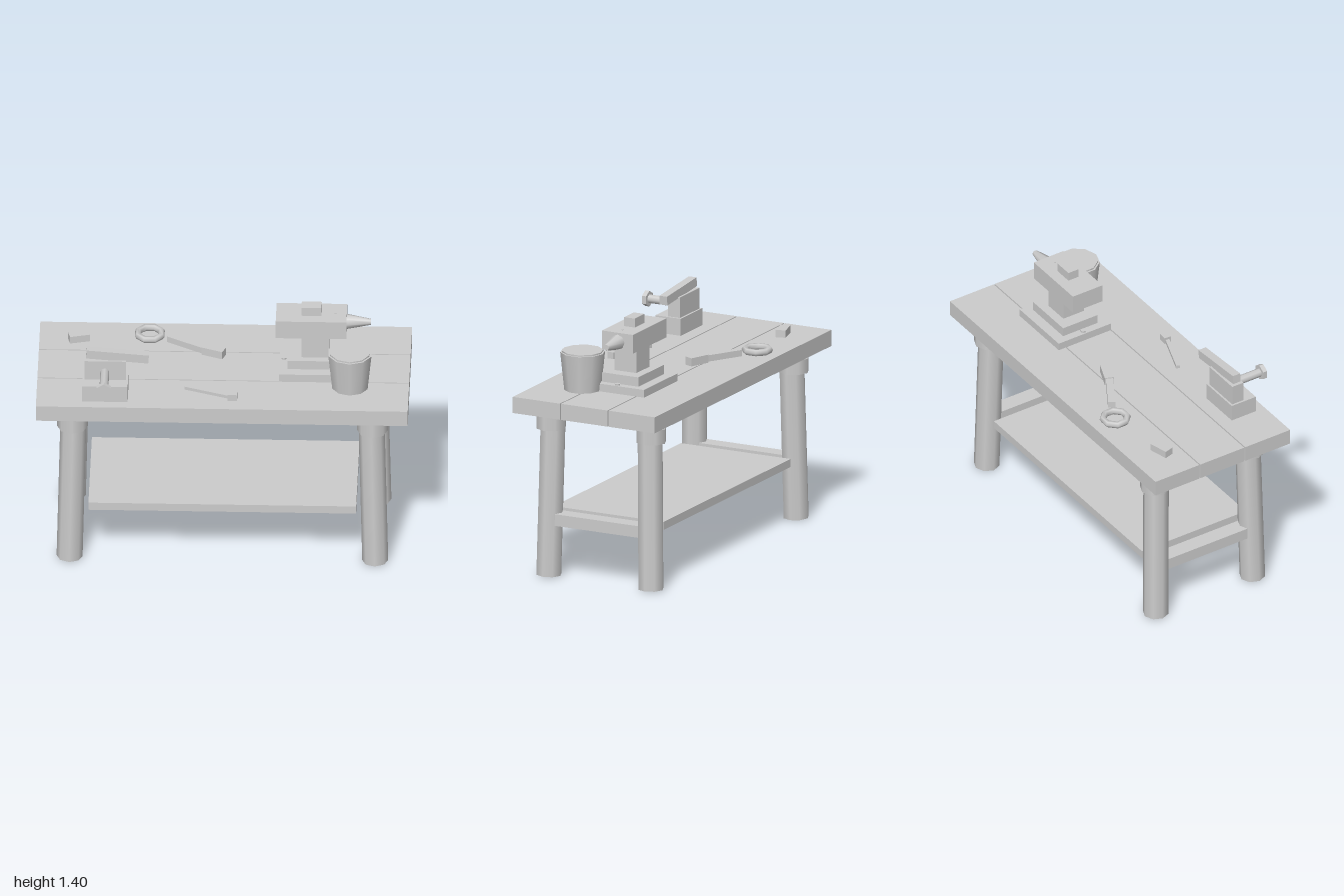
import * as THREE from 'three';

export function createModel() {
  const model = new THREE.Group();
  const smooth = new THREE.MeshStandardMaterial({ color: 0xcccccc });
  const flat = new THREE.MeshStandardMaterial({ color: 0xcccccc, flatShading: true });

  function add(parent, name, geometry, material, x, y, z) {
    const mesh = new THREE.Mesh(geometry, material);
    mesh.name = name;
    mesh.position.set(x, y, z);
    parent.add(mesh);
    return mesh;
  }
  // Box given by its lower and upper limits on each axis
  function box(parent, name, [x0, x1], [y0, y1], [z0, z1]) {
    return add(parent, name, new THREE.BoxGeometry(x1 - x0, y1 - y0, z1 - z0), flat,
      (x0 + x1) / 2, (y0 + y1) / 2, (z0 + z1) / 2);
  }
  // Box lying on the table, turned about the vertical
  function turnedBox(parent, name, size, x, y, z, angle) {
    const mesh = add(parent, name, new THREE.BoxGeometry(...size), flat, x, y, z);
    mesh.rotation.y = angle;
    return mesh;
  }
  function group(name) {
    const g = new THREE.Group();
    g.name = name;
    model.add(g);
    return g;
  }

  // Table top of three planks
  const top = group('tableTop');
  for (const z of [[0.111, 0.4], [-0.179, 0.104], [-0.468, -0.186]]) {
    box(top, 'plank', [-1, 1], [0.93, 1.02], z);
  }

  // Splayed legs with collars, and a stretcher at each end
  const frame = group('frame');
  const midZ = -0.037;
  for (const sx of [-1, 1]) {
    for (const sz of [-1, 1]) {
      const foot = new THREE.Vector3(sx * 0.822, 0.004, midZ + sz * 0.312);
      const head = new THREE.Vector3(sx * 0.8, 0.935, midZ + sz * 0.295);
      const axis = head.clone().sub(foot);
      const mid = foot.clone().add(head).multiplyScalar(0.5);
      const leg = add(frame, 'leg', new THREE.CylinderGeometry(0.07, 0.07, axis.length(), 8), smooth, mid.x, mid.y, mid.z);
      leg.quaternion.setFromUnitVectors(new THREE.Vector3(0, 1, 0), axis.normalize());
      add(frame, 'legCollar', new THREE.CylinderGeometry(0.083, 0.083, 0.08, 8), smooth,
        sx * 0.807, 0.86, midZ + sz * 0.306);
    }
    const stretcher = box(frame, 'stretcher', [0.77, 0.86], [0.29, 0.355], [-0.305, 0.225]);
    stretcher.position.x *= sx;
  }
  box(frame, 'shelf', [-0.72, 0.72], [0.31, 0.355], [-0.37, 0.3]);

  // Anvil
  const anvil = group('anvil');
  box(anvil, 'anvilFoot', [0.3, 0.68], [1.02, 1.063], [-0.23, 0.107]);
  box(anvil, 'anvilStep', [0.345, 0.637], [1.063, 1.115], [-0.172, 0.05]);
  box(anvil, 'anvilWaist', [0.418, 0.565], [1.115, 1.25], [-0.122, 0.011]);
  box(anvil, 'anvilBody', [0.28, 0.66], [1.25, 1.355], [-0.152, 0.038]);
  box(anvil, 'anvilBlock', [0.417, 0.525], [1.355, 1.405], [-0.09, -0.025]);
  const horn = add(anvil, 'anvilHorn', new THREE.CylinderGeometry(0.017, 0.046, 0.15, 8), smooth, 0.715, 1.303, -0.058);
  horn.rotation.z = -Math.PI / 2;
  for (const x of [0.322, 0.66]) {
    add(anvil, 'anvilBolt', new THREE.CylinderGeometry(0.015, 0.015, 0.014, 6), smooth, x, 1.065, -0.058);
  }
  add(anvil, 'anvilPin', new THREE.CylinderGeometry(0.006, 0.006, 0.006, 6), smooth, 0.6, 1.355, -0.055);

  // Bucket with an inset filling
  const bucket = group('bucket');
  add(bucket, 'bucketBody', new THREE.CylinderGeometry(0.122, 0.1, 0.21, 10), smooth, 0.683, 1.125, 0.143);
  add(bucket, 'bucketFilling', new THREE.CylinderGeometry(0.112, 0.112, 0.01, 10), smooth, 0.683, 1.233, 0.143);

  // Vise with a tilted jaw and a hexagonal screw head
  const vise = group('vise');
  box(vise, 'viseFoot', [-0.754, -0.508], [1.02, 1.115], [0.187, 0.342]);
  box(vise, 'viseBlock', [-0.742, -0.52], [1.115, 1.23], [0.198, 0.27]);
  const jaw = box(vise, 'viseJaw', [-0.733, -0.397], [1.226, 1.276], [0.21, 0.257]);
  jaw.rotation.z = -0.08;
  const screw = add(vise, 'viseScrew', new THREE.CylinderGeometry(0.024, 0.024, 0.2, 8), smooth, -0.633, 1.163, 0.35);
  const knob = add(vise, 'viseScrewHead', new THREE.CylinderGeometry(0.044, 0.044, 0.025, 6), flat, -0.633, 1.163, 0.458);
  screw.rotation.x = knob.rotation.x = Math.PI / 2;

  // Loose things on the table
  const tools = group('tools');
  turnedBox(tools, 'smallBlock', [0.11, 0.042, 0.055], -0.787, 1.04, -0.288, 0.25);
  const ring = add(tools, 'ring', new THREE.TorusGeometry(0.067, 0.019, 6, 8), smooth, -0.407, 1.037, -0.335);
  ring.rotation.set(Math.PI / 2, 0, Math.PI / 8);
  turnedBox(tools, 'hammerHandle', [0.22, 0.035, 0.04], -0.207, 1.042, -0.232, -0.53);
  turnedBox(tools, 'hammerHead', [0.12, 0.045, 0.052], -0.058, 1.043, -0.155, -0.38);
  turnedBox(tools, 'chiselShaft', [0.25, 0.018, 0.022], -0.085, 1.037, 0.25, -0.35);
  turnedBox(tools, 'chiselHead', [0.05, 0.037, 0.04], 0.055, 1.04, 0.297, -0.05);

  return model;
}
